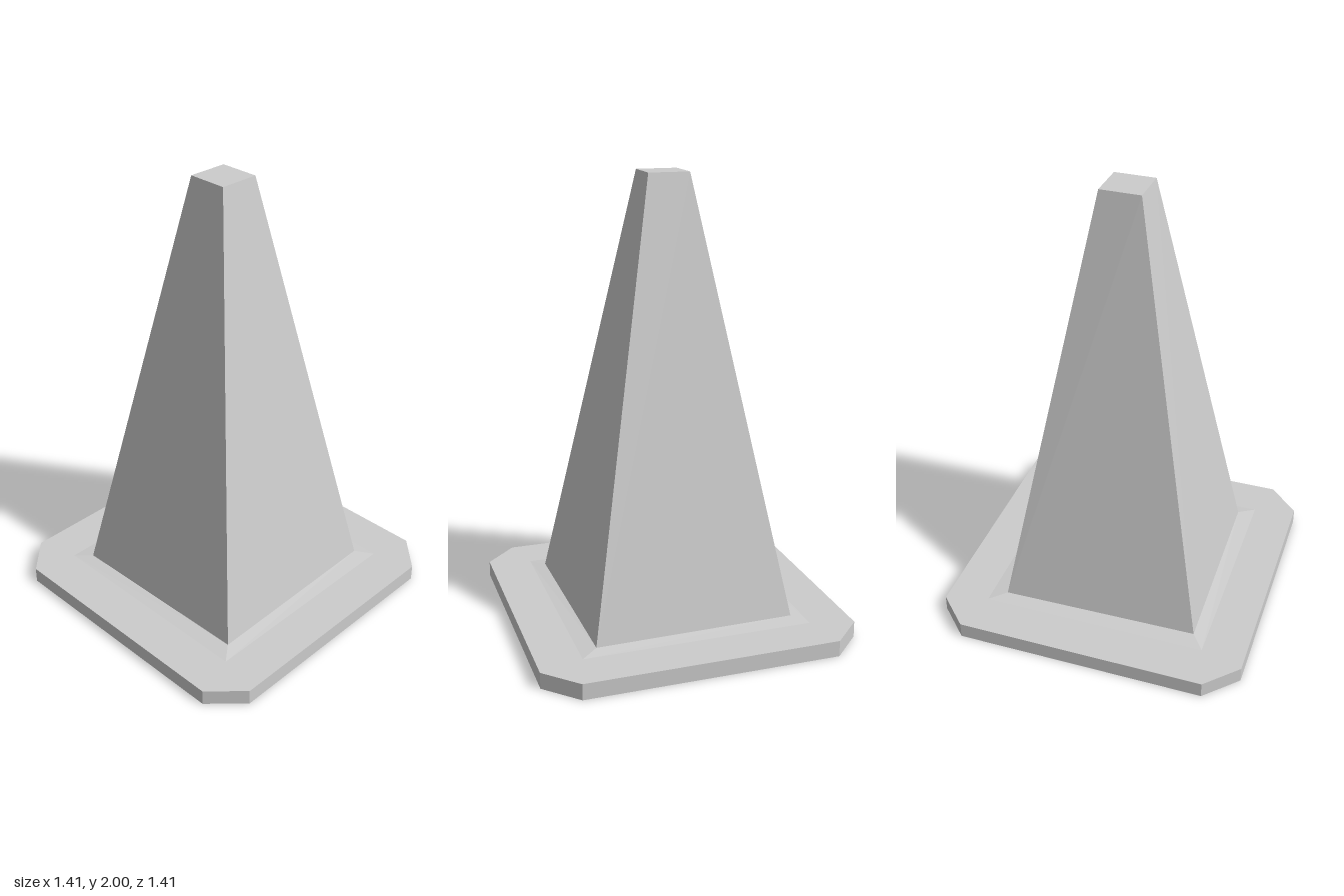
import * as THREE from 'three';

// Square ring of half-width h at height y, turned by deg about the vertical and shifted in z
function squareRing(h, y, deg = 0, dz = 0) {
  const a = THREE.MathUtils.degToRad(deg), c = Math.cos(a), s = Math.sin(a);
  return [[h, h], [-h, h], [-h, -h], [h, -h]].map(([x, z]) =>
    new THREE.Vector3(x * c - z * s, y, x * s + z * c + dz));
}

// Square ring with cut corners
function octagonRing(h, k, y) {
  return [[h, k], [k, h], [-k, h], [-h, k], [-h, -k], [-k, -h], [k, -h], [h, -k]]
    .map(([x, z]) => new THREE.Vector3(x, y, z));
}

// Flat-shaded skin through a stack of rings, with optional end caps
function loft(rings, capBottom, capTop) {
  const pts = [], n = rings[0].length;
  for (let r = 0; r < rings.length - 1; r++) {
    const b = rings[r], t = rings[r + 1];
    for (let i = 0; i < n; i++) {
      const j = (i + 1) % n;
      pts.push(b[i], t[i], b[j], t[i], t[j], b[j]);
    }
  }
  const bottom = rings[0], top = rings[rings.length - 1];
  for (let i = 1; i < n - 1; i++) {
    if (capBottom) pts.push(bottom[0], bottom[i], bottom[i + 1]);
    if (capTop) pts.push(top[0], top[i + 1], top[i]);
  }
  const geometry = new THREE.BufferGeometry().setFromPoints(pts);
  geometry.computeVertexNormals();
  return geometry;
}

export function createModel() {
  const group = new THREE.Group();
  group.name = 'trafficCone';
  const grey = new THREE.MeshStandardMaterial({ color: 0xcccccc });
  grey.name = 'light grey';

  const add = (name, geometry) => {
    const mesh = new THREE.Mesh(geometry, grey);
    mesh.name = name;
    group.add(mesh);
  };

  // Foot plate with cut corners
  add('basePlate', loft([octagonRing(0.705, 0.565, 0), octagonRing(0.705, 0.565, 0.072)], true, true));

  // Shallow skirt rising from the plate to the foot of the cone
  const foot = squareRing(0.447, 0.082, -1);
  add('skirt', loft([squareRing(0.513, 0.072), foot], false, false));

  // Four-sided tapered body, very slightly twisted
  add('coneBody', loft([foot, squareRing(0.0907, 2, 1, -0.004)], false, true));

  return group;
}
